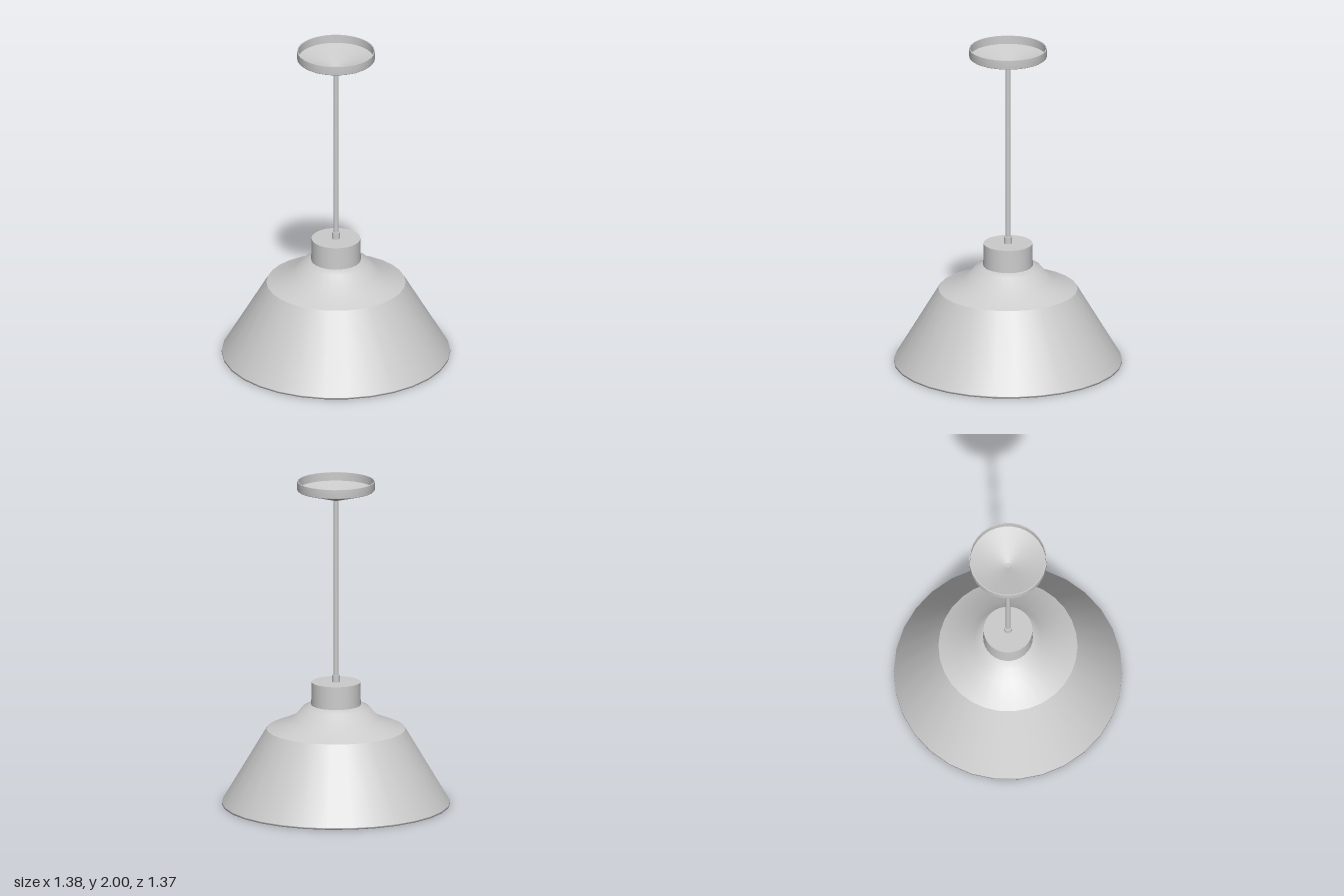
import * as THREE from 'three';

const SEGMENTS = 30;
const material = new THREE.MeshStandardMaterial({ color: 0xcccccc, side: THREE.DoubleSide });

// One smooth lathe per band, so the edges between bands stay crisp
function turned(name, bands, segments = SEGMENTS) {
  const group = new THREE.Group();
  group.name = name;
  bands.forEach((band, i) => {
    const points = band.map(([r, y]) => new THREE.Vector2(r, y));
    const mesh = new THREE.Mesh(new THREE.LatheGeometry(points, segments, Math.PI / 2), material);
    mesh.name = `${name}Band${i + 1}`;
    group.add(mesh);
  });
  return group;
}

function cylinder(name, radius, bottom, top, segments) {
  const mesh = new THREE.Mesh(
    new THREE.CylinderGeometry(radius, radius, top - bottom, segments), material);
  mesh.name = name;
  mesh.position.y = (bottom + top) / 2;
  return mesh;
}

export function createModel() {
  const model = new THREE.Group();
  model.name = 'pendantLamp';

  // Hollow shade: flared skirt, concave shoulder, rim and inner lining
  model.add(turned('shade', [
    [[0.69, 0.01], [0.42, 0.465]],
    [[0.42, 0.465], [0.26, 0.53], [0.2, 0.6], [0.148, 0.615]],
    [[0.678, 0], [0.69, 0], [0.69, 0.01]],
    [[0.412, 0.457], [0.678, 0]],
    [[0.14, 0.605], [0.192, 0.591], [0.253, 0.521], [0.412, 0.457]],
  ]));

  // Lamp holder above the shade, closed at both ends
  model.add(turned('socketHousing', [
    [[0.15, 0.61], [0.148, 0.755]],
    [[0.148, 0.755], [0, 0.755]],
    [[0, 0.61], [0.15, 0.61]],
  ]));

  // Suspension rod and its collar
  model.add(cylinder('rodCollar', 0.024, 0.75, 0.797, 16));
  model.add(cylinder('rod', 0.015, 0.79, 1.89, 16));

  // Ceiling canopy: shallow cone with an upright wall, open at the top
  model.add(turned('canopy', [
    [[0.012, 1.88], [0.23, 1.943]],
    [[0.23, 1.943], [0.235, 1.948], [0.235, 2]],
    [[0.235, 2], [0.229, 2]],
    [[0.229, 2], [0.229, 1.949]],
    [[0.229, 1.949], [0.012, 1.886]],
  ]));

  return model;
}
